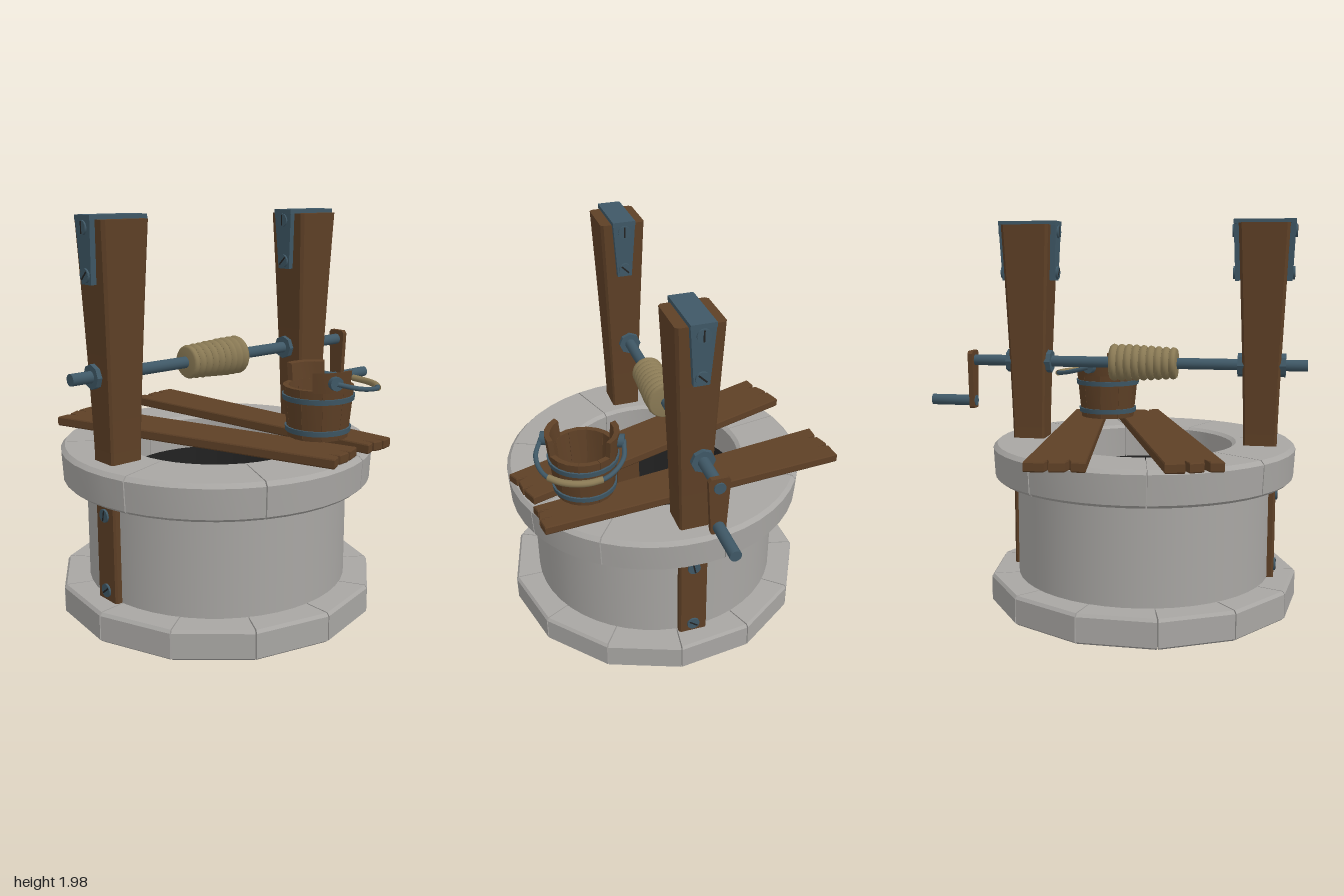
import * as THREE from 'three';
import { toCreasedNormals } from 'three/addons/utils/BufferGeometryUtils.js';

const mat = (color) => new THREE.MeshStandardMaterial({ color, side: THREE.DoubleSide });
const stone = mat(0xa8a6a3), wood = mat(0x5e4026), darkWood = mat(0x4a301b);
const metal = mat(0x3f5866), rope = mat(0x8a7a55), black = mat(0x222222);
const V2 = (p) => p.map(([x, y]) => new THREE.Vector2(x, y));
const V3 = (p) => p.map((a) => new THREE.Vector3(...a));
const CX = -0.16, CZ = 0.055, AXLE_Y = 1.25, AXLE_Z = 0.03;

function add(parent, name, geo, material, x = 0, y = 0, z = 0) {
  const mesh = new THREE.Mesh(geo, material);
  mesh.name = name;
  mesh.position.set(x, y, z);
  parent.add(mesh);
  return mesh;
}

function group(parent, name, x = 0, y = 0, z = 0) {
  const g = new THREE.Group();
  g.name = name;
  g.position.set(x, y, z);
  parent.add(g);
  return g;
}

// Closed profile (radius, height) swept from angle a0 to a1, with end caps
function sector(parent, name, profile, a0, a1, segs, material) {
  const pts = V2([...profile, profile[0]]);
  add(parent, name, toCreasedNormals(new THREE.LatheGeometry(pts, segs, a0, a1 - a0), 0.4), material);
  if (a1 - a0 > 6.28) return;
  for (const a of [a0, a1]) {
    add(parent, name + 'End', new THREE.ShapeGeometry(new THREE.Shape(V2(profile))), material).rotation.y = a - Math.PI / 2;
  }
}

// Rod along x between two positions
function rod(parent, name, x0, x1, r, y, z, material, sides = 16) {
  const geo = new THREE.CylinderGeometry(r, r, x1 - x0, sides).rotateZ(Math.PI / 2);
  return add(parent, name, toCreasedNormals(geo, 0.6), material, (x0 + x1) / 2, y, z);
}

// Slotted screw head facing along x
function screw(parent, x, y, z, tilt) {
  const g = group(parent, 'screw', x, y, z);
  rod(g, 'screwHead', -0.014, 0.014, 0.033, 0, 0, metal);
  add(g, 'screwSlot', new THREE.BoxGeometry(0.031, 0.055, 0.008), black).rotation.x = tilt;
}

// Chamfered beam that flares towards its top
function postGeometry() {
  const c = 0.06;
  const s = new THREE.Shape(V2([[-0.5 + c, -0.5], [0.5 - c, -0.5], [0.5, -0.5 + c], [0.5, 0.5 - c],
    [0.5 - c, 0.5], [-0.5 + c, 0.5], [-0.5, 0.5 - c], [-0.5, -0.5 + c]]));
  const geo = new THREE.ExtrudeGeometry(s, { depth: 1.82, steps: 12, bevelEnabled: false }).rotateX(-Math.PI / 2);
  const p = geo.attributes.position;
  for (let i = 0; i < p.count; i++) {
    const y = p.getY(i) + 0.14, t = Math.max(0, (y - 0.84) / 1.12);
    p.setXYZ(i, p.getX(i) * (0.168 + 0.085 * t ** 1.25), y, p.getZ(i) * (0.15 + 0.085 * t ** 1.2));
  }
  geo.computeVertexNormals();
  return geo;
}

// Board with three blunt prongs at each end, from a front point to a back point
function plank(parent, [x0, z0, w0], [x1, z1, w1]) {
  const h = Math.hypot(x1 - x0, z1 - z0) / 2;
  const end = (w, s) => [[-0.5, 0.995], [-0.28, 0.985], [-0.22, 0.91], [-0.16, 0.985], [0.08, 1], [0.13, 0.93],
    [0.18, 1], [0.5, 0.995]].map(([u, v]) => [u * w, s * h * v]);
  const shape = new THREE.Shape(V2([...end(w0, -1), ...end(w1, 1).reverse()]));
  const geo = new THREE.ExtrudeGeometry(shape, { depth: 0.036, bevelThickness: 0.006, bevelSize: 0.004, bevelSegments: 1 });
  geo.rotateX(-Math.PI / 2);
  const m = add(parent, 'plank', geo, wood, (x0 + x1) / 2, 0.846, (z0 + z1) / 2);
  m.rotation.y = Math.atan2(x0 - x1, z0 - z1);
}

function buildStonework(root) {
  const well = group(root, 'stonework', CX, 0, CZ);
  // Foot ring of straight blocks
  const foot = [[0.645, 0], [0.795, 0], [0.81, 0.012], [0.81, 0.135], [0.798, 0.15], [0.545, 0.15], [0.545, 0.1]];
  const step = Math.PI * 2 / 13;
  for (let i = 0; i < 13; i++) sector(well, 'footStone', foot, i * step + 0.004, (i + 1) * step - 0.004, 1, stone);
  // Round wall with a dark shaft and floor inside
  add(well, 'wall', new THREE.CylinderGeometry(0.665, 0.665, 0.55, 48, 1, true), stone, 0, 0.4, 0);
  add(well, 'shaft', new THREE.CylinderGeometry(0.54, 0.54, 0.57, 40, 1, true), black, 0, 0.385, 0);
  add(well, 'shaftFloor', new THREE.CircleGeometry(0.55, 40).rotateX(-Math.PI / 2), black, 0, 0.1, 0);
  // Rim of uneven curved blocks over a recessed core
  const rim = [[0.47, 0.66], [0.765, 0.66], [0.782, 0.675], [0.79, 0.82], [0.77, 0.84], [0.485, 0.84], [0.465, 0.825]];
  const joints = [-24, 22, 54, 100, 145, 190, 235, 288, 336].map(THREE.MathUtils.degToRad);
  for (let i = 0; i < 8; i++) sector(well, 'rimStone', rim, joints[i] + 0.004, joints[i + 1] - 0.004, 6, stone);
  sector(well, 'rimCore', [[0.48, 0.67], [0.75, 0.67], [0.75, 0.825], [0.48, 0.825]], 0, Math.PI * 2, 40, stone);
}

function buildPosts(root) {
  const geo = postGeometry();
  for (const side of [-1, 1]) {
    const post = group(root, side < 0 ? 'rightPost' : 'leftPost', CX + side * 0.61, 0, CZ);
    add(post, 'beam', geo, wood);
    // Metal cap with tapered straps on both faces
    add(post, 'capPlate', new THREE.BoxGeometry(0.31, 0.022, 0.12), metal, 0, 1.969, 0);
    for (const s of [-1, 1]) {
      const strap = new THREE.Shape(V2([[-0.038, -0.15], [0.038, -0.15], [0.06, 0.15], [-0.06, 0.15]]));
      const plate = new THREE.ExtrudeGeometry(strap, { depth: 0.028, bevelEnabled: false }).rotateY(s * Math.PI / 2);
      add(post, 'capStrap', plate, metal, s * 0.12, 1.825, 0).rotation.z = -s * 0.04;
      screw(post, s * 0.147, 1.925, 0, 0);
      screw(post, s * 0.14, 1.715, 0, 0.8);
      // Axle bearing
      const y = AXLE_Y, z = AXLE_Z - CZ;
      rod(post, 'bearing', s * 0.1 - 0.021, s * 0.1 + 0.021, 0.06, y, z, metal, 8);
    }
    // Screws on the foot of the beam
    screw(post, side * 0.08, 0.58, 0, 0.2);
    screw(post, side * 0.08, 0.2, 0, 0.9);
  }
}

function buildWinch(root) {
  const winch = group(root, 'winch', 0, AXLE_Y, AXLE_Z);
  rod(winch, 'axle', -1, 0.79, 0.029, 0, 0, metal);
  // Rope drum: one ridged profile of nine coils
  const profile = [[0.01, -0.175]];
  for (let i = 0; i < 9; i++) {
    for (let j = 0; j <= 4; j++) {
      const r = 0.072 + 0.014 * Math.min(1, i / 6) + 0.012 * Math.sin(Math.PI * j / 4);
      profile.push([r, -0.175 + (i + j / 4) * 0.35 / 9]);
    }
  }
  profile.push([0.01, 0.175]);
  add(winch, 'ropeCoil', new THREE.LatheGeometry(V2(profile), 24).rotateZ(-Math.PI / 2), rope, -0.163, 0, 0);
  // Crank with tapered arm and handle
  const arm = new THREE.Shape(V2([[-0.03, -0.26], [0.03, -0.26], [0.037, -0.25], [0.053, 0.035], [0.04, 0.05],
    [-0.04, 0.05], [-0.053, 0.035], [-0.037, -0.25]]));
  const armGeo = new THREE.ExtrudeGeometry(arm, { depth: 0.026, bevelEnabled: false }).rotateY(Math.PI / 2);
  add(winch, 'crankArm', armGeo, wood, 0.756, 0, 0);
  rod(winch, 'crankHandle', 0.752, 1, 0.029, -0.22, 0, metal);
}

function buildBucket(root) {
  const bucket = group(root, 'bucket', 0.122, 0.89, 0.5);
  bucket.rotation.y = -0.37;
  const rAt = (y) => 0.15 + 0.1 * y;
  // Staves
  const n = 10, step = Math.PI * 2 / n;
  for (let i = 0; i < n; i++) {
    const a = (i - 0.5) * step;
    const stave = [[0.125, 0.005], [rAt(0), 0.005], [rAt(0.26), 0.26], [rAt(0.26) - 0.028, 0.26]];
    sector(bucket, 'stave', stave, a + 0.004, a + step - 0.004, 2, wood);
  }
  // Two taller ears carrying the handle pivots
  for (const a of [0, Math.PI]) {
    const ear = [[rAt(0.26) - 0.028, 0.25], [rAt(0.26), 0.25], [rAt(0.35), 0.35], [rAt(0.35) - 0.028, 0.345]];
    sector(bucket, 'ear', ear, a - 0.6, a + 0.6, 4, wood);
    const s = a ? -1 : 1;
    add(bucket, 'handlePivot', new THREE.CylinderGeometry(0.034, 0.034, 0.04, 12).rotateX(Math.PI / 2), metal, 0, 0.3, s * 0.188);
  }
  add(bucket, 'bottom', new THREE.CylinderGeometry(0.145, 0.145, 0.02, 20), darkWood, 0, 0.02, 0);
  // Metal hoops
  for (const y of [0.045, 0.205]) {
    const r = rAt(y);
    const hoop = [[r - 0.01, y - 0.013], [r + 0.007, y - 0.013], [r + 0.01, y + 0.013], [r - 0.01, y + 0.013]];
    sector(bucket, 'hoop', hoop, 0, Math.PI * 2, 30, metal);
  }
  // Bail handle lying to one side, with a grip
  const arc = (p) => new THREE.CatmullRomCurve3(V3(p));
  const bail = arc([[0, 0.3, 0.205], [0.12, 0.27, 0.212], [0.25, 0.25, 0.14], [0.295, 0.245, 0],
    [0.25, 0.25, -0.14], [0.12, 0.27, -0.212], [0, 0.3, -0.205]]);
  add(bucket, 'bail', new THREE.TubeGeometry(bail, 40, 0.012, 8), metal);
  const grip = arc([0.34, 0.42, 0.5, 0.58, 0.66].map((t) => bail.getPointAt(t).toArray()));
  add(bucket, 'grip', new THREE.TubeGeometry(grip, 16, 0.017, 10), rope);
}

export function createModel() {
  const root = new THREE.Group();
  root.name = 'well';
  buildStonework(root);
  buildPosts(root);
  buildWinch(root);
  plank(root, [-0.005, 0.805, 0.245], [-0.515, -0.735, 0.265]);
  plank(root, [0.275, 0.77, 0.18], [0.1, -0.84, 0.275]);
  buildBucket(root);
  return root;
}
